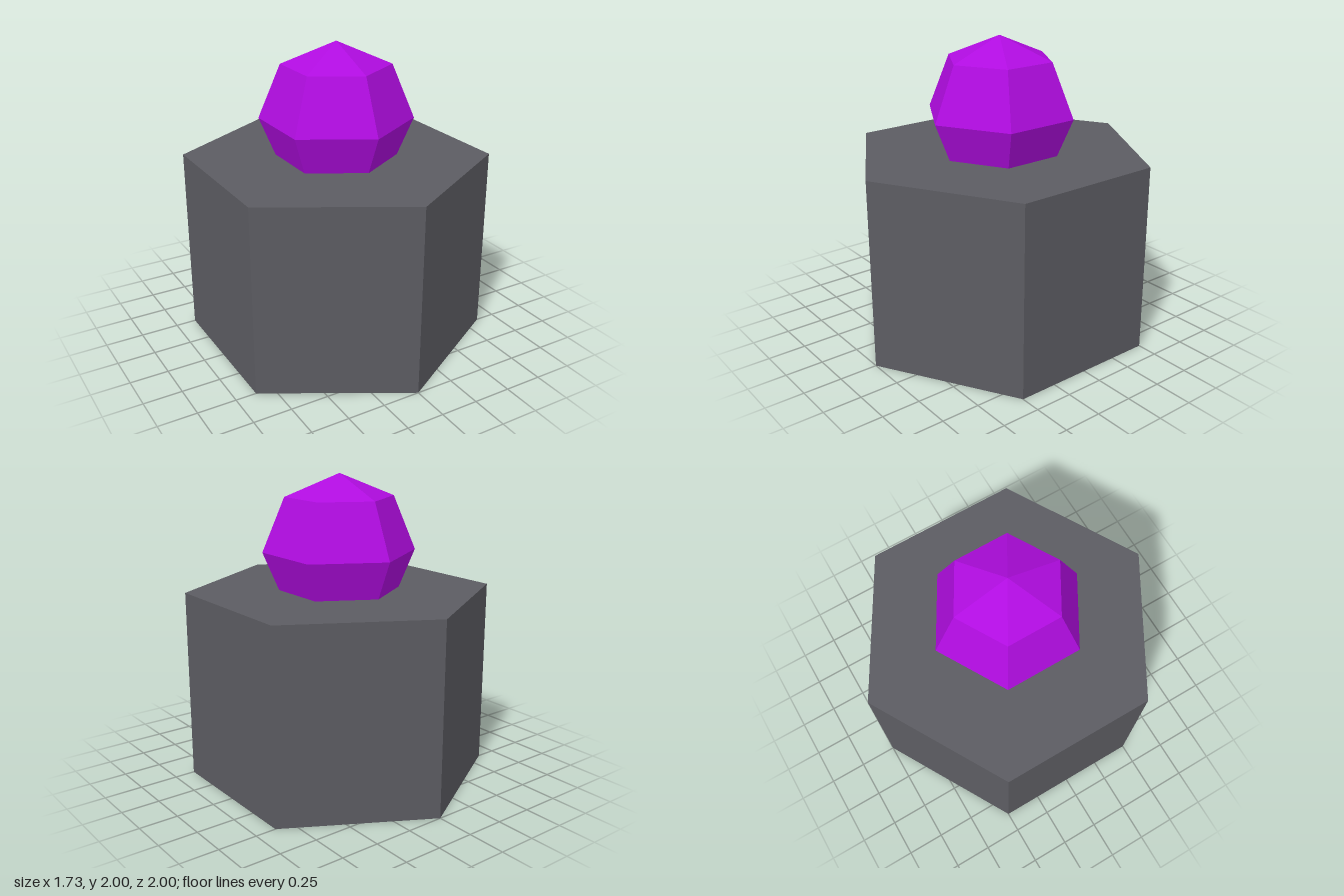
import * as THREE from 'three';

export function createModel() {
  const model = new THREE.Group();
  const grey = new THREE.MeshStandardMaterial({ color: 0x5c5c62, flatShading: true });
  grey.name = 'dark grey';
  const purple = new THREE.MeshStandardMaterial({ color: 0xb00ce0, flatShading: true });
  purple.name = 'purple';

  // Hexagonal block with corners pointing front and back
  const base = new THREE.Mesh(new THREE.CylinderGeometry(1, 1, 1.25, 6), grey);
  base.name = 'base';
  base.position.y = 0.625;

  // Six-sided faceted ball, partly sunk into the block
  const ball = new THREE.Mesh(new THREE.SphereGeometry(0.5, 6, 4), purple);
  ball.name = 'ball';
  ball.position.y = 1.5;
  ball.rotation.y = Math.PI / 6;

  model.add(base, ball);
  return model;
}
